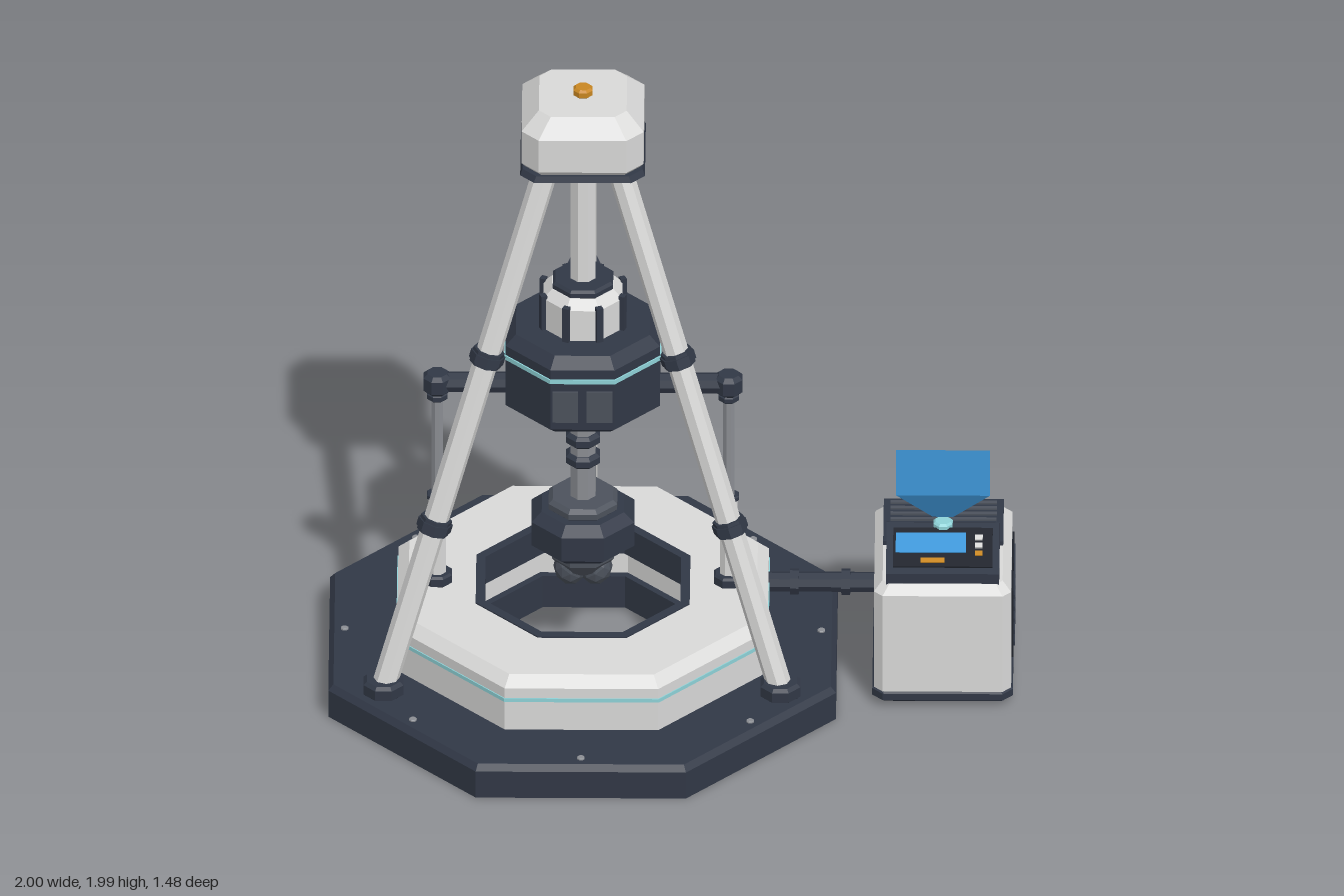
import * as THREE from 'three';

const mat = (name, color, double) => {
  const m = new THREE.MeshStandardMaterial({ color });
  m.name = name;
  if (double) m.side = THREE.DoubleSide;
  return m;
};
const V = (x, y, z) => new THREE.Vector3(x, y, z);

// Faceted normals for the low-poly look
function facet(g) {
  const f = g.index ? g.toNonIndexed() : g;
  f.computeVertexNormals();
  return f;
}

// Eight-sided turned part; radii are measured to the flats
function oct(profile) {
  const k = 1 / Math.cos(Math.PI / 8);
  const g = new THREE.LatheGeometry(profile.map(([r, y]) => new THREE.Vector2(r * k, y)), 8);
  return facet(g.rotateY(Math.PI / 8));
}
const drum = (r, y0, y1, c = 0.006) =>
  oct([[0, y0], [r - c, y0], [r, y0 + c], [r, y1 - c], [r - c, y1], [0, y1]]);

// Box with cut vertical corners; levels are [y, halfWidth, halfDepth, cut]
function cutBox(levels) {
  const pos = [];
  const loops = levels.map(([y, w, d, c]) => [
    [w, d - c], [w, c - d], [w - c, -d], [c - w, -d],
    [-w, c - d], [-w, d - c], [c - w, d], [w - c, d],
  ].map(([x, z]) => [x, y, z]));
  const tri = (...p) => p.forEach((q) => pos.push(...q));
  for (let l = 0; l < loops.length - 1; l++) {
    for (let i = 0; i < 8; i++) {
      const j = (i + 1) % 8, a = loops[l], b = loops[l + 1];
      tri(a[i], a[j], b[j]);
      tri(a[i], b[j], b[i]);
    }
  }
  const bottom = loops[0], top = loops[loops.length - 1];
  for (let i = 1; i < 7; i++) {
    tri(top[0], top[i], top[i + 1]);
    tri(bottom[0], bottom[i + 1], bottom[i]);
  }
  const g = new THREE.BufferGeometry();
  g.setAttribute('position', new THREE.Float32BufferAttribute(pos, 3));
  g.computeVertexNormals();
  return g;
}

// Straight eight-sided bar between two points
function bar(a, b, r) {
  const d = b.clone().sub(a);
  const g = new THREE.CylinderGeometry(r, r, d.length(), 8);
  g.applyQuaternion(new THREE.Quaternion().setFromUnitVectors(V(0, 1, 0), d.normalize()));
  g.translate(...a.clone().add(b).multiplyScalar(0.5).toArray());
  return facet(g);
}

export function createModel() {
  const light = mat('light shell', 0xd9d9d8), dark = mat('dark slate', 0x313846);
  const black = mat('near black', 0x1f232b), metal = mat('metal', 0x8b8e93);
  const teal = mat('teal trim', 0x8fd3d8), orange = mat('orange', 0xc98722);
  const blue = mat('screen blue', 0x3f97d9, true), slate = mat('panel grey', 0x4c525c);

  const model = new THREE.Group(), rig = new THREE.Group(), cabinet = new THREE.Group();
  rig.name = 'drillRig';
  cabinet.name = 'controlCabinet';
  rig.position.x = -0.26;
  cabinet.position.x = 0.79;
  model.add(rig, cabinet);
  const add = (parent, name, geo, m, x = 0, y = 0, z = 0) => {
    const mesh = new THREE.Mesh(geo, m);
    mesh.name = name;
    mesh.position.set(x, y, z);
    parent.add(mesh);
    return mesh;
  };
  const box = (w, h, d) => new THREE.BoxGeometry(w, h, d);

  // Base platform and raised ring, both open in the middle
  add(rig, 'basePlatform', oct([[0.29, 0], [0.74, 0], [0.74, 0.09], [0.725, 0.108], [0.29, 0.108], [0.29, 0]]), dark);
  add(rig, 'raisedRing', oct([[0.31, 0.105], [0.54, 0.105], [0.54, 0.25], [0.508, 0.28], [0.31, 0.28], [0.31, 0.105]]), light);
  add(rig, 'ringLip', oct([[0.285, 0.19], [0.312, 0.19], [0.312, 0.284], [0.285, 0.284], [0.285, 0.19]]), dark);
  add(rig, 'ringStripe', oct([[0.538, 0.205], [0.543, 0.205], [0.543, 0.217], [0.538, 0.217]]), teal);
  for (let i = 0; i < 8; i++) {
    const a = i * Math.PI / 4;
    add(rig, 'baseBolt', drum(0.011, 0.1, 0.114, 0.002), metal, 0.695 * Math.sin(a), 0, 0.695 * Math.cos(a));
  }

  // Tripod
  for (let i = 0; i < 3; i++) {
    const a = Math.PI + i * Math.PI * 2 / 3, s = Math.sin(a), c = Math.cos(a);
    const foot = V(0.668 * s, 0.12, 0.668 * c), top = V(0.115 * s, 1.77, 0.115 * c);
    add(rig, 'leg', bar(foot, top, 0.037), light);
    add(rig, 'legFoot', drum(0.058, 0.1, 0.152, 0.01), dark, foot.x, 0, foot.z);
    for (const y of [0.63, 1.155]) {
      const at = (h) => foot.clone().lerp(top, (y + h - 0.12) / 1.65);
      add(rig, 'legCollar', bar(at(-0.022), at(0.022), 0.047), dark);
      add(rig, 'legCollarBand', bar(at(-0.012), at(0.012), 0.052), dark);
    }
  }

  // Head on top of the tripod
  add(rig, 'headPlate', cutBox([[1.755, 0.155, 0.155, 0.035], [1.772, 0.182, 0.182, 0.04], [1.79, 0.175, 0.175, 0.04]]), dark);
  add(rig, 'headShell', cutBox([[1.788, 0.165, 0.165, 0.045], [1.805, 0.178, 0.178, 0.05], [1.915, 0.178, 0.178, 0.05], [1.966, 0.128, 0.128, 0.035]]), light);
  add(rig, 'headBeacon', drum(0.028, 1.96, 1.99, 0.007), orange);
  add(rig, 'headHub', drum(0.068, 1.73, 1.76), black);
  add(rig, 'mast', oct([[0.036, 1.3], [0.036, 1.75]]), light);

  // Drive motor
  add(rig, 'motorCap', drum(0.088, 1.305, 1.335, 0.008), dark);
  add(rig, 'motorNeck', oct([[0.115, 1.17], [0.115, 1.285], [0.09, 1.312], [0, 1.312]]), light);
  for (let i = 0; i < 8; i++) {
    const a = (i + 0.5) * Math.PI / 4;
    const rib = add(rig, 'neckRib', box(0.02, 0.115, 0.018), dark, 0.125 * Math.sin(a), 1.24, 0.125 * Math.cos(a));
    rib.rotation.y = a;
  }
  add(rig, 'motorHousing', oct([[0, 0.92], [0.195, 0.92], [0.225, 0.945], [0.225, 1.15], [0.195, 1.182], [0, 1.182]]), dark);
  add(rig, 'motorStripe', oct([[0.223, 1.105], [0.229, 1.105], [0.229, 1.119], [0.223, 1.119]]), teal);
  add(rig, 'motorPanel', box(0.075, 0.105, 0.009), slate, -0.05, 1.025, 0.226);
  add(rig, 'motorPanel', box(0.075, 0.105, 0.009), slate, 0.05, 1.025, 0.226);

  // Drill string, chuck and bit
  add(rig, 'motorFlange', drum(0.08, 0.897, 0.925), slate);
  add(rig, 'drillShaft', oct([[0.037, 0.55], [0.037, 0.9]]), metal);
  for (const y of [0.71, 0.78]) add(rig, 'shaftCollar', drum(0.05, y - 0.02, y + 0.02, 0.01), dark);
  add(rig, 'chuckCap', drum(0.1, 0.54, 0.582, 0.012), slate);
  add(rig, 'chuck', oct([[0, 0.415], [0.12, 0.415], [0.15, 0.44], [0.15, 0.52], [0.12, 0.548], [0, 0.548]]), dark);
  add(rig, 'bitCrown', oct([[0, 0.335], [0.06, 0.335], [0.09, 0.38], [0.09, 0.42]]), slate);
  for (let i = 0; i < 3; i++) {
    const a = i * Math.PI * 2 / 3 + Math.PI / 3;
    add(rig, 'bitCone', facet(new THREE.IcosahedronGeometry(0.05, 1).scale(1, 1.15, 1)), slate, 0.042 * Math.sin(a), 0.345, 0.042 * Math.cos(a));
  }

  // Side arms with feed struts
  for (const s of [-1, 1]) {
    add(rig, 'sideArm', bar(V(s * 0.2, 0.965, 0), V(s * 0.41, 0.965, 0), 0.031), dark);
    add(rig, 'armEnd', drum(0.04, 0.932, 0.998, 0.012), dark, s * 0.425);
    add(rig, 'strutCap', drum(0.03, 0.908, 0.934), dark, s * 0.425);
    add(rig, 'strutRod', oct([[0.017, 0.56], [0.017, 0.92]]), metal, s * 0.425);
    add(rig, 'strutSleeve', oct([[0.025, 0.29], [0.025, 0.57], [0, 0.57]]), light, s * 0.425);
    add(rig, 'strutBand', drum(0.03, 0.565, 0.582, 0.003), dark, s * 0.425);
    add(rig, 'strutFoot', drum(0.043, 0.275, 0.312), dark, s * 0.425);
  }

  // Feed pipe from ring to cabinet
  add(model, 'feedPipe', bar(V(0.22, 0.205, -0.115), V(0.61, 0.205, -0.115), 0.03), dark);
  for (const x of [0.355, 0.505]) add(model, 'pipeCollar', bar(V(x - 0.013, 0.205, -0.115), V(x + 0.013, 0.205, -0.115), 0.039), dark);

  // Cabinet body
  add(cabinet, 'cabinetBase', cutBox([[0.015, 0.19, 0.23, 0.03], [0.028, 0.205, 0.247, 0.03], [0.05, 0.205, 0.247, 0.03], [0.06, 0.195, 0.237, 0.03]]), dark);
  add(cabinet, 'cabinetShell', cutBox([[0.055, 0.2, 0.242, 0.025], [0.385, 0.2, 0.242, 0.025], [0.412, 0.175, 0.217, 0.02]]), light);
  add(cabinet, 'sideGrille', box(0.009, 0.23, 0.32), black, 0.201, 0.225, -0.02);
  for (let i = 0; i < 5; i++) add(cabinet, 'sideSlat', box(0.012, 0.014, 0.28), dark, 0.204, 0.145 + i * 0.04, -0.02);
  add(cabinet, 'topGrille', box(0.35, 0.02, 0.23), dark, 0, 0.416, -0.107);
  for (let i = 0; i < 7; i++) add(cabinet, 'topSlat', box(0.31, 0.008, 0.012), slate, 0, 0.428, -0.197 + i * 0.03);

  // Sloping console, seen from the side as a wedge
  const wedge = new THREE.Shape([[-0.215, 0.405], [-0.012, 0.405], [-0.012, 0.495], [-0.025, 0.502], [-0.215, 0.445]].map(([x, y]) => new THREE.Vector2(x, y)));
  const console_ = new THREE.ExtrudeGeometry(wedge, { depth: 0.33, bevelEnabled: false });
  add(cabinet, 'console', facet(console_.translate(0, 0, -0.165).rotateY(Math.PI / 2)), dark);
  const face = new THREE.Group();
  face.name = 'consoleControls';
  face.position.set(0, 0.4735, 0.12);
  face.rotation.x = Math.atan2(0.057, 0.19);
  cabinet.add(face);
  add(face, 'screenFrame', box(0.29, 0.006, 0.15), black, 0, 0.002, 0);
  add(face, 'screen', box(0.205, 0.006, 0.075), blue, -0.035, 0.006, -0.015);
  add(face, 'mainButton', box(0.07, 0.008, 0.018), orange, -0.03, 0.006, 0.053);
  [light, light, orange].forEach((m, i) => add(face, 'smallButton', box(0.022, 0.008, 0.018), m, 0.105, 0.006, -0.035 + i * 0.03));

  // Projected display: slanted beam below an upright sheet
  add(cabinet, 'projector', drum(0.028, 0.49, 0.513), teal, 0, 0, 0.03);
  const sheet = (pts) => {
    const g = new THREE.BufferGeometry().setFromPoints([0, 1, 2, 0, 2, 3].map((i) => V(...pts[i])));
    g.computeVertexNormals();
    return g;
  };
  add(cabinet, 'displayBeam', sheet([[-0.03, 0.515, 0.015], [0.03, 0.515, 0.015], [0.137, 0.625, 0.072], [-0.137, 0.625, 0.072]]), blue);
  add(cabinet, 'displaySheet', sheet([[-0.137, 0.625, 0.072], [0.137, 0.625, 0.072], [0.137, 0.782, 0.072], [-0.137, 0.782, 0.072]]), blue);
  return model;
}
